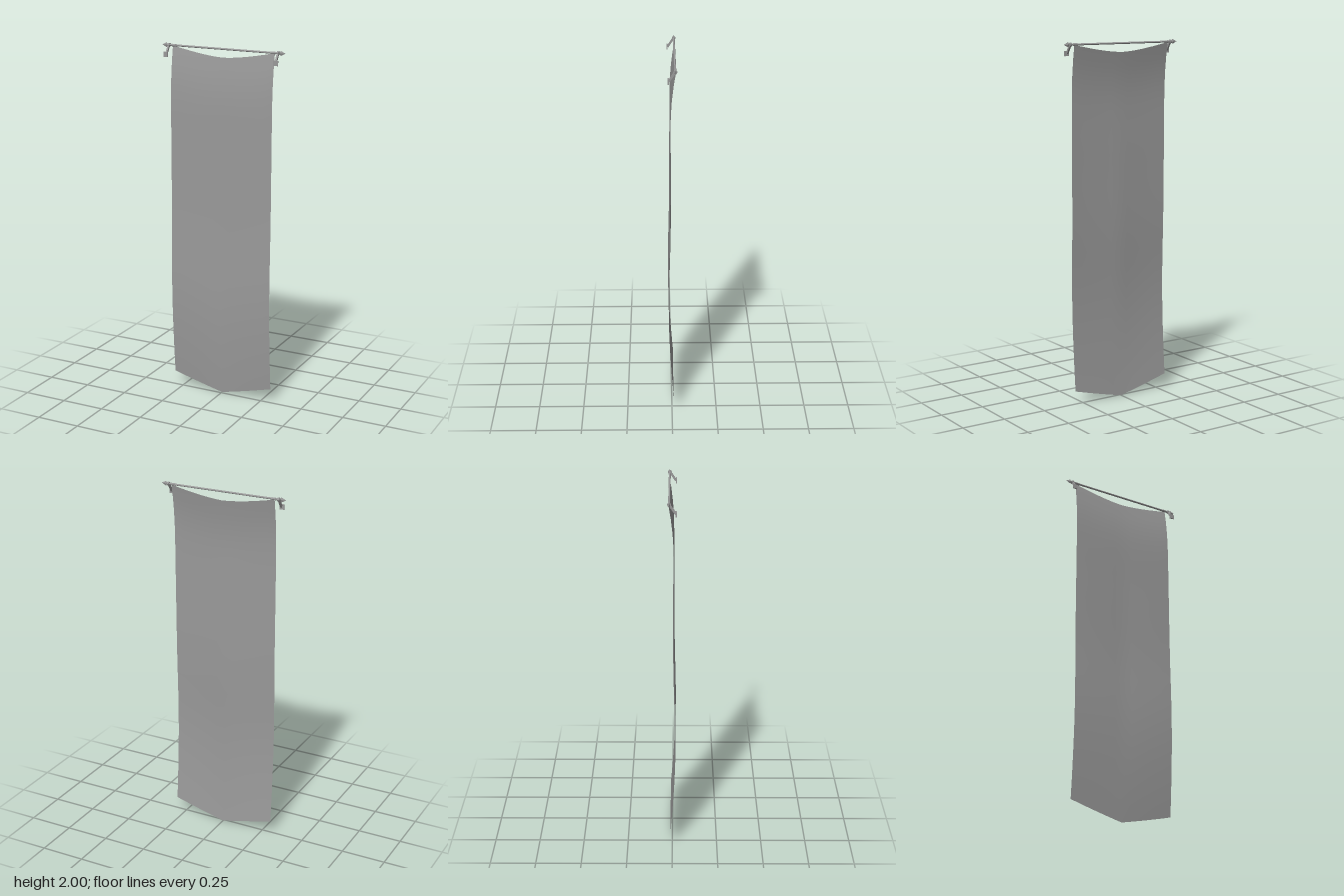
import * as THREE from 'three';

const ROD_Y = 1.986, ROD_Z = -0.016;

export function createModel() {
  const model = new THREE.Group();
  model.name = 'hangingBanner';
  const metal = new THREE.MeshStandardMaterial({ color: 0x9a9a9a, flatShading: true });
  const fabric = new THREE.MeshStandardMaterial({ color: 0x9a9a9a, side: THREE.DoubleSide });

  const add = (name, geometry, parent, x = 0, y = 0, z = 0, material = metal) => {
    const mesh = new THREE.Mesh(geometry, material);
    mesh.name = name;
    mesh.position.set(x, y, z);
    parent.add(mesh);
    return mesh;
  };

  // Cloth: a sheet with sagging top, pointed bottom and a shallow central fold
  const drape = new THREE.CatmullRomCurve3([
    [0, -0.012], [0.15, 0], [0.4, 0.014], [0.62, 0.018], [1, 0.011],
    [1.4, 0.009], [1.75, 0.006], [1.88, -0.005], [1.985, -0.021],
  ].map(([y, z]) => new THREE.Vector3(0, y, z))).getPoints(80);
  const depthAt = (y) => {
    const i = Math.max(1, drape.findIndex((p) => p.y >= y));
    const a = drape[i - 1], b = drape[i];
    return THREE.MathUtils.mapLinear(y, a.y, b.y, a.z, b.z);
  };
  const cloth = new THREE.PlaneGeometry(0.61, 1, 12, 24);
  const pos = cloth.attributes.position;
  for (let i = 0; i < pos.count; i++) {
    const x = pos.getX(i), t = pos.getY(i) + 0.5, u = Math.abs(x) / 0.305;
    const bottom = 0.069 * u + 0.008 * u * u;
    const top = 1.938 + 0.046 * u ** 1.5;
    const y = THREE.MathUtils.lerp(bottom, top, t);
    const fold = -0.007 * (1 - u) ** 2 * Math.sin(Math.PI * t);
    // Follow the height of the outer edge so the corners reach the rod
    const edgeY = THREE.MathUtils.lerp(0.01, 1.984, t);
    pos.setXYZ(i, x, y, depthAt(edgeY) + fold);
  }
  cloth.computeVertexNormals();
  add('cloth', cloth, model, 0, 0, 0, fabric);

  // Rod
  const rod = new THREE.CylinderGeometry(0.0055, 0.0055, 0.67, 8).rotateZ(Math.PI / 2);
  add('rod', rod, model, 0, ROD_Y, ROD_Z);

  // Fittings at both ends
  for (const side of [1, -1]) {
    const end = new THREE.Group();
    end.name = side > 0 ? 'leftFittings' : 'rightFittings';
    model.add(end);

    const ring = (r, w) => new THREE.CylinderGeometry(r, r, w, 8).rotateZ(Math.PI / 2);
    add('sleeve', ring(0.007, 0.025), end, side * 0.297, ROD_Y, ROD_Z);
    add('collar', ring(0.0105, 0.011), end, side * 0.326, ROD_Y, ROD_Z);

    // Flattened spearhead finial
    const spear = new THREE.ConeGeometry(0.014, 0.027, 4).scale(1, 1, 0.3);
    add('finial', spear.rotateZ(-side * Math.PI / 2), end, side * 0.3545, ROD_Y, ROD_Z);
    const base = new THREE.ConeGeometry(0.014, 0.008, 4).scale(1, 1, 0.3);
    add('finialBase', base.rotateZ(side * Math.PI / 2), end, side * 0.337, ROD_Y, ROD_Z);

    // Slanting arm that carries the rod
    const from = new THREE.Vector3(side * 0.326, ROD_Y - 0.004, ROD_Z + 0.004);
    const to = new THREE.Vector3(side * 0.326, 1.938, 0.018);
    const arm = add('bracketArm', new THREE.BoxGeometry(0.01, 0.011, from.distanceTo(to)), end);
    arm.position.copy(from).lerp(to, 0.5);
    arm.lookAt(to);

    // Mounting plate
    add('mountPlate', new THREE.BoxGeometry(0.027, 0.028, 0.006), end, side * 0.328, 1.938, 0.02);
  }
  return model;
}
